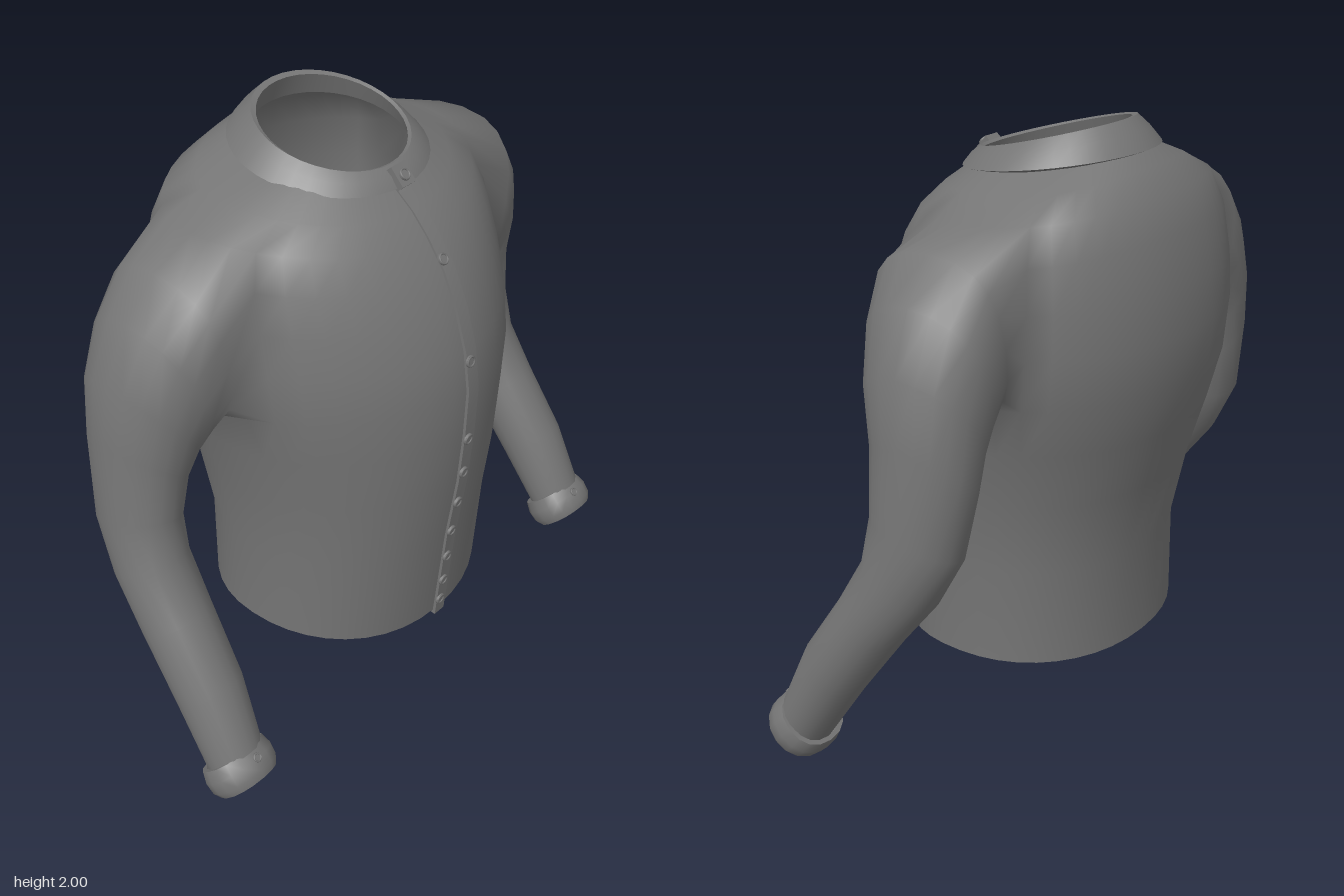
import * as THREE from 'three';
import { toCreasedNormals } from 'three/addons/utils/BufferGeometryUtils.js';

const mat = new THREE.MeshStandardMaterial({ color: 0x757575, side: THREE.DoubleSide });
const V = (x, y, z) => new THREE.Vector3(x, y, z);
const power = (v, p) => Math.sign(v) * Math.abs(v) ** p;
const COLS = 40;

// Torso rows: y at front, side, back; half width; z at front, side, back; front taper
const ROWS = [
  [0.235, 0.28, 0.272, 0.478, 0.455, 0.03, -0.38, 0.93],
  [0.6, 0.6, 0.6, 0.478, 0.49, 0.03, -0.38, 0.95],
  [0.85, 0.85, 0.85, 0.51, 0.525, 0.02, -0.435, 1],
  [1.05, 1.05, 1.05, 0.55, 0.54, 0, -0.495, 1.05],
  [1.22, 1.22, 1.22, 0.6, 0.545, -0.02, -0.535, 1.1],
  [1.36, 1.38, 1.38, 0.605, 0.525, -0.045, -0.548, 1.1],
  [1.49, 1.52, 1.53, 0.6, 0.485, -0.065, -0.535, 1.1],
  [1.61, 1.65, 1.69, 0.585, 0.43, -0.08, -0.505, 1.08],
  [1.7, 1.76, 1.8, 0.54, 0.365, -0.09, -0.455, 1.05],
  [1.765, 1.815, 1.87, 0.42, 0.305, -0.075, -0.39, 1],
  [1.835, 1.87, 1.915, 0.28, 0.215, -0.05, -0.33, 0.95],
];
const HOLE = { bottom: 4, top: 8, from: 7, to: 13 };

// Left sleeve rings: outer x, y; inner x, y; front y, z; back y, z; roundness
const SLEEVE = [
  [0.705, 1.712, 0.615, 1.2, 1.455, 0.165, 1.455, -0.308, 0.78],
  [0.82, 1.585, 0.635, 1.14, 1.36, 0.135, 1.36, -0.305, 0.88],
  [0.9, 1.4, 0.65, 1.08, 1.24, 0.1, 1.24, -0.297, 0.95],
  [0.925, 1.2, 0.67, 1.0, 1.1, 0.065, 1.08, -0.285, 1],
  [0.945, 0.92, 0.7, 0.86, 0.93, 0.055, 0.84, -0.25, 1],
  [0.96, 0.74, 0.715, 0.72, 0.79, 0.075, 0.66, -0.155, 1],
  [0.97, 0.56, 0.73, 0.56, 0.62, 0.175, 0.5, -0.03, 1],
  [0.978, 0.35, 0.75, 0.35, 0.42, 0.31, 0.28, 0.13, 1],
  [0.977, 0.13, 0.783, 0.13, 0.19, 0.415, 0.062, 0.275, 1],
];

function indexed(points, index) {
  const g = new THREE.BufferGeometry().setFromPoints(points);
  g.setIndex(index);
  g.computeVertexNormals();
  return g;
}

// Skin a list of closed rings
function loft(rings, crease) {
  const n = rings[0].length, index = [];
  for (let r = 0; r + 1 < rings.length; r++) {
    for (let i = 0; i < n; i++) {
      const a = r * n + i, b = r * n + (i + 1) % n;
      index.push(a, b, b + n, a, b + n, a + n);
    }
  }
  return toCreasedNormals(indexed(rings.flat(), index), crease);
}

function mesh(name, geometry) {
  const m = new THREE.Mesh(geometry, mat);
  m.name = name;
  return m;
}

// Torso with open armholes; each sleeve grows from its armhole edge
function bodyGeometry() {
  const pts = [], index = [];
  for (const [yf, ys, yb, w, zf, zs, zb, taper] of ROWS) {
    for (let j = 0; j < COLS; j++) {
      const t = j / COLS * Math.PI * 2, c = Math.cos(t), s = Math.sin(t);
      const [y, z, p] = c > 0 ? [yf, zf, taper] : [yb, zb, 0.92];
      pts.push(V(w * power(s, p), ys + (y - ys) * c * c, zs + (z - zs) * Math.abs(c) ** p));
    }
  }
  const inHole = (r, j) => r >= HOLE.bottom && r < HOLE.top && j >= HOLE.from && j < HOLE.to;
  for (let r = 0; r + 1 < ROWS.length; r++) {
    for (let j = 0; j < COLS; j++) {
      if (inHole(r, j) || inHole(r, COLS - 1 - j)) continue;
      const a = r * COLS + j, b = r * COLS + (j + 1) % COLS;
      index.push(a, b, b + COLS, a, b + COLS, a + COLS);
    }
  }
  // Armhole edge from the top middle, forward and round
  const edge = [];
  for (let j = 10; j > HOLE.from; j--) edge.push([HOLE.top, j]);
  for (let r = HOLE.top; r > HOLE.bottom; r--) edge.push([r, HOLE.from]);
  for (let j = HOLE.from; j < HOLE.to; j++) edge.push([HOLE.bottom, j]);
  for (let r = HOLE.bottom; r < HOLE.top; r++) edge.push([r, HOLE.to]);
  for (let j = HOLE.to; j > 10; j--) edge.push([HOLE.top, j]);

  for (const side of [1, -1]) {
    let previous = edge.map(([r, j]) => r * COLS + (side > 0 ? j : COLS - j));
    for (const [ox, oy, ix, iy, fy, fz, by, bz, round] of SLEEVE) {
      const ring = previous.map((_, i) => {
        const t = i / edge.length * Math.PI * 2;
        const c = power(Math.cos(t), round) / 2, s = power(Math.sin(t), round) / 2;
        pts.push(V(side * ((ox + ix) / 2 + (ox - ix) * c),
          (fy + by) / 2 + (oy - iy) * c + (fy - by) * s,
          (fz + bz) / 2 + (fz - bz) * s));
        return pts.length - 1;
      });
      ring.forEach((d, i) => {
        const k = (i + 1) % ring.length, a = previous[i], b = previous[k], c = ring[k];
        if (side > 0) index.push(a, b, c, a, c, d);
        else index.push(a, c, b, a, d, c);
      });
      previous = ring;
    }
  }
  return indexed(pts, index);
}

// Tilted neck band: half width, front z, front y, back z, back y
function collarGeometry() {
  const rings = [
    [0.29, 0.23, 1.815, -0.335, 1.9], [0.312, 0.258, 1.822, -0.362, 1.912],
    [0.275, 0.233, 1.855, -0.325, 1.96], [0.24, 0.205, 1.875, -0.285, 1.998],
    [0.23, 0.192, 1.87, -0.265, 1.99], [0.25, 0.2, 1.83, -0.29, 1.915],
  ].map(([w, zf, yf, zb, yb]) => Array.from({ length: 36 }, (_, i) => {
    const t = i / 36 * Math.PI * 2, c = Math.cos(t) / 2;
    return V(0.01 + w * Math.sin(t), (yf + yb) / 2 + (yf - yb) * c, (zf + zb) / 2 + (zf - zb) * c);
  }));
  return loft(rings, 0.7);
}

// Rolled cuff: distance along the arm, relative radius
function cuffGeometry() {
  const rings = [[0, 0.88], [0, 1.03], [0.04, 1.13], [0.08, 1.1], [0.105, 0.96], [0.095, 0.8], [0.02, 0.78]]
    .map(([d, k]) => Array.from({ length: 16 }, (_, i) => {
      const t = i / 16 * Math.PI * 2, v = 0.1 * k * power(Math.sin(t), 0.9);
      return V(0.88 + 0.106 * k * power(Math.cos(t), 0.9), 0.142 - 0.73 * d + 0.68 * v, 0.322 + 0.68 * d + 0.73 * v);
    }));
  return loft(rings, 0.8);
}

function button(position, normal, radius) {
  const g = new THREE.Group();
  g.name = 'button';
  const rim = mesh('buttonRim', new THREE.TorusGeometry(radius * 0.8, radius * 0.18, 6, 14));
  rim.rotation.x = Math.PI / 2;
  rim.position.y = 0.003;
  g.add(mesh('buttonDisc', new THREE.CylinderGeometry(radius, radius, 0.006, 14)), rim);
  g.position.copy(position);
  g.quaternion.setFromUnitVectors(V(0, 1, 0), normal.normalize());
  return g;
}

export function createModel() {
  const model = new THREE.Group();
  model.name = 'buttonedShirt';
  model.add(mesh('bodyAndSleeves', bodyGeometry()), mesh('collar', collarGeometry()));

  // Button strip down the front, ending just below the hem
  model.add(mesh('placket', loft(ROWS.map(([y, , , , z], i) => [-0.022, 0.026, 0.026, -0.022].map(
    (x, k) => V(x, i ? y : 0.22, z + (k < 2 ? 0.008 : -0.008)))), 0.7)));
  for (const y of [0.29, 0.385, 0.5, 0.62, 0.755, 0.89, 1.03, 1.325, 1.64]) {
    const r = ROWS.findIndex(row => row[0] > y), lo = ROWS[r - 1], hi = ROWS[r];
    const slope = (hi[4] - lo[4]) / (hi[0] - lo[0]);
    model.add(button(V(-0.008, y, lo[4] + slope * (y - lo[0]) + 0.011), V(0, -slope, 1), 0.02));
  }

  // Collar tab
  const tab = mesh('collarTab', new THREE.BoxGeometry(0.06, 0.07, 0.025));
  tab.position.set(0.002, 1.85, 0.243);
  tab.rotation.x = -0.75;
  model.add(tab, button(V(0.002, 1.86, 0.256), V(0, 0.68, 0.73), 0.02));

  // Cuffs, mirrored
  for (const side of [1, -1]) {
    const cuff = new THREE.Group();
    cuff.name = side > 0 ? 'leftCuff' : 'rightCuff';
    cuff.add(mesh('cuffBand', cuffGeometry()), button(V(0.87, 0.19, 0.427), V(0, 0.68, 0.73), 0.016));
    cuff.scale.x = side;
    model.add(cuff);
  }
  return model;
}
